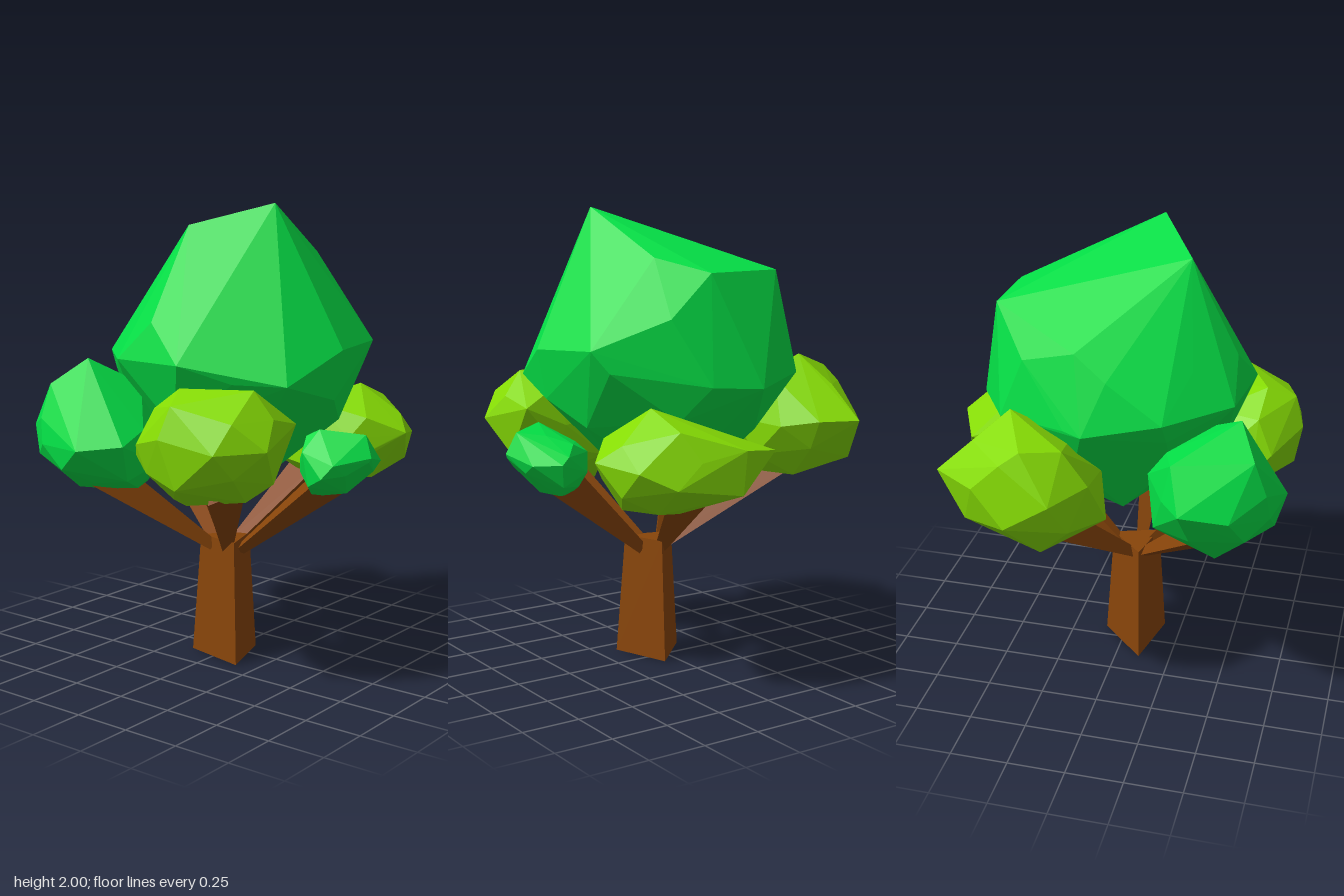
import * as THREE from 'three';
import { ConvexGeometry } from 'three/addons/geometries/ConvexGeometry.js';

const paint = (color) => new THREE.MeshStandardMaterial({ color, flatShading: true });
const bark = paint(0x88450a);
const green = paint(0x04e046);
const olive = paint(0x86dc04);
const V = (p) => new THREE.Vector3(...p);

// Faceted leaf clump: hull around oval rings [y, xMin, xMax, zMin, zMax, sides] plus single peaks
function clump(name, material, rings, peaks) {
  const points = peaks.map(V);
  rings.forEach(([y, x0, x1, z0, z1, sides], i) => {
    for (let k = 0; k < sides; k++) {
      const a = ((k + 0.5 * (i % 2)) / sides) * Math.PI * 2 + 0.2;
      const wobble = 0.03 * Math.sin(k * 2.4 + i * 1.7);
      points.push(new THREE.Vector3(
        (x0 + x1) / 2 + Math.cos(a) * (x1 - x0) * 0.515,
        y + wobble,
        (z0 + z1) / 2 + Math.sin(a) * (z1 - z0) * 0.515));
    }
  });
  const mesh = new THREE.Mesh(new ConvexGeometry(points), material);
  mesh.name = name;
  return mesh;
}

// Three-sided limb, thin at the trunk and thick inside the leaves
function limb(name, from, to, twist) {
  const a = V(from), b = V(to);
  const dir = b.clone().sub(a);
  const mesh = new THREE.Mesh(
    new THREE.CylinderGeometry(0.095, 0.028, dir.length(), 3, 1, false, twist), bark);
  mesh.position.copy(a).add(b).multiplyScalar(0.5);
  mesh.quaternion.setFromUnitVectors(new THREE.Vector3(0, 1, 0), dir.normalize());
  mesh.name = name;
  return mesh;
}

export function createModel() {
  const tree = new THREE.Group();
  tree.name = 'tree';

  // Tapered triangular trunk with a grassy underside
  const trunk = new THREE.Mesh(
    new THREE.CylinderGeometry(0.13, 0.173, 0.54, 3, 1, false, 0.82), [bark, bark, olive]);
  trunk.scale.z = 0.93;
  trunk.position.set(0.027, 0.27, 0.06);
  trunk.name = 'trunk';
  tree.add(trunk);

  // One limb for each side clump
  tree.add(
    limb('frontRightBranch', [-0.03, 0.5, 0.1], [-0.4, 0.88, 0.48], 0),
    limb('frontLeftBranch', [0.05, 0.5, 0.1], [0.32, 0.87, 0.48], 0),
    limb('backRightBranch', [-0.04, 0.5, 0.05], [-0.54, 0.91, -0.22], Math.PI / 3),
    limb('backLeftBranch', [0.02, 0.5, 0.0], [0.18, 0.88, -0.5], Math.PI / 3),
    limb('leftBranch', [0.09, 0.49, 0.06], [0.58, 0.9, 0.02], 0));

  // Large central crown with its lopsided top
  tree.add(clump('crown', green, [
    [0.85, -0.2, 0.22, -0.24, 0.16, 5],
    [1.1, -0.41, 0.48, -0.46, 0.43, 7],
    [1.3, -0.49, 0.56, -0.55, 0.51, 8],
    [1.53, -0.45, 0.48, -0.53, 0.42, 8],
  ], [
    [0.31, 2, 0.11], [0, 1.91, 0.29], [0.03, 1.88, -0.04], [-0.23, 1.74, -0.48],
    [0.25, 1.79, -0.29], [-0.42, 1.62, -0.1], [0.1, 1.73, -0.48], [-0.03, 1.52, 0.5],
    [0.61, 1.41, 0.05], [0.57, 1.2, 0.05], [0.53, 1.28, 0.33], [0.15, 1.36, 0.56],
    [-0.2, 1.36, 0.52], [-0.46, 1.36, 0.27], [-0.52, 1.3, -0.05], [-0.39, 1.3, -0.43],
    [-0.08, 1.26, -0.6], [0.55, 1.42, -0.28],
  ]));

  // Side clumps
  tree.add(
    clump('frontRightLeaves', green, [
      [0.81, -0.46, -0.14, 0.3, 0.58, 5],
      [0.93, -0.61, -0.07, 0.22, 0.72, 7],
      [1.08, -0.63, -0.07, 0.2, 0.72, 7],
      [1.22, -0.56, -0.17, 0.28, 0.67, 5],
    ], [
      [-0.32, 1.36, 0.57], [-0.71, 1.1, 0.39], [-0.57, 1.25, 0.33], [-0.63, 1.05, 0.58],
      [-0.45, 1.0, 0.72], [-0.22, 1.0, 0.76], [-0.06, 1.02, 0.65], [-0.1, 0.86, 0.58],
      [-0.35, 0.77, 0.42], [-0.28, 0.78, 0.28],
    ]),
    clump('frontLeftLeaves', olive, [
      [0.83, 0.08, 0.44, 0.34, 0.58, 5],
      [0.92, 0.0, 0.54, 0.26, 0.72, 7],
      [1.07, -0.03, 0.6, 0.27, 0.76, 8],
      [1.2, 0.05, 0.56, 0.32, 0.72, 6],
    ], [[0.2, 1.28, 0.6], [0.47, 1.28, 0.47], [0.1, 0.76, 0.44], [-0.05, 0.98, 0.58], [0.54, 1.13, 0.28]]),
    clump('backRightLeaves', olive, [
      [0.85, -0.65, -0.32, -0.42, -0.1, 5],
      [0.95, -0.74, -0.25, -0.55, 0.04, 7],
      [1.1, -0.75, -0.22, -0.57, 0.02, 7],
      [1.25, -0.71, -0.3, -0.5, -0.08, 5],
    ], [
      [-0.7, 1.3, -0.25], [-0.46, 1.37, -0.36], [-0.55, 1.1, -0.66],
      [-0.38, 1.1, -0.6], [-0.76, 1.1, -0.12],
    ]),
    clump('backLeftLeaves', olive, [
      [0.79, 0.15, 0.48, -0.56, -0.3, 5],
      [0.88, 0.06, 0.57, -0.73, -0.22, 7],
      [1.0, 0.04, 0.61, -0.72, -0.22, 7],
      [1.1, 0.1, 0.56, -0.66, -0.24, 6],
    ], [
      [0.38, 1.2, -0.46], [-0.08, 1.02, -0.68], [0.14, 1.05, -0.78], [0.2, 0.74, -0.4],
      [0.15, 0.87, -0.77], [0.63, 1.0, -0.44], [0.06, 0.86, -0.27], [0.4, 0.84, -0.16],
    ]),
    clump('leftLeaves', green, [
      [0.81, 0.46, 0.62, -0.09, 0.1, 5],
      [0.88, 0.42, 0.72, -0.14, 0.19, 6],
      [0.97, 0.42, 0.75, -0.15, 0.21, 7],
      [1.03, 0.46, 0.62, -0.1, 0.16, 5],
    ], [[0.72, 1.07, 0.04], [0.56, 1.09, 0.14], [0.62, 0.9, 0.22], [0.76, 0.98, 0.06], [0.62, 0.95, -0.17]]));

  return tree;
}
